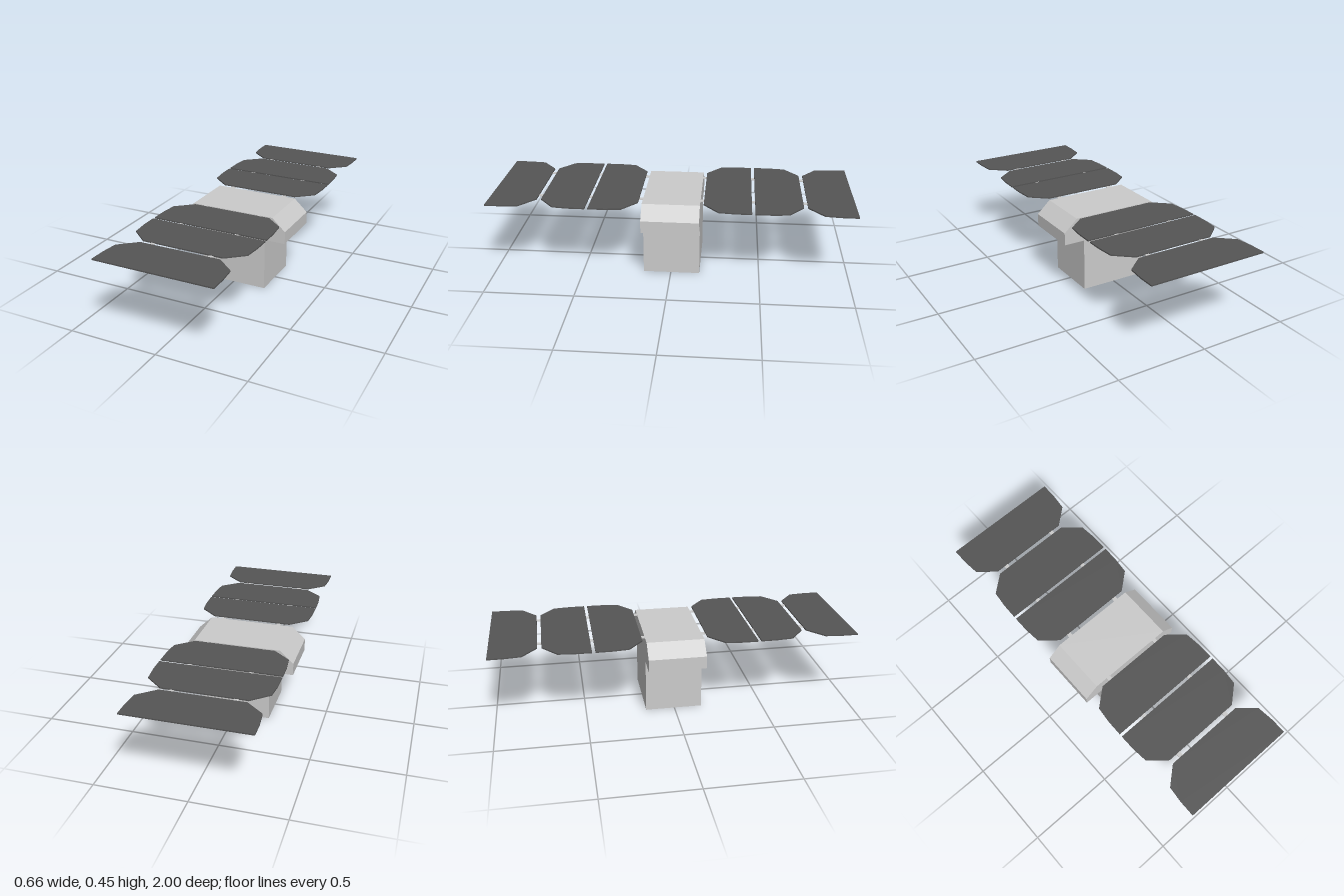
import * as THREE from 'three';

const grey = new THREE.MeshStandardMaterial({ color: 0xcccccc, flatShading: true });
const dark = new THREE.MeshStandardMaterial({ color: 0x555555, flatShading: true });

function extrude(points, depth) {
  const shape = new THREE.Shape(points.map(([x, y]) => new THREE.Vector2(x, y)));
  return new THREE.ExtrudeGeometry(shape, { depth, bevelEnabled: false });
}

function add(group, name, geometry, material) {
  const mesh = new THREE.Mesh(geometry, material);
  mesh.name = name;
  group.add(mesh);
  return mesh;
}

// Panel lying flat: straight wide edge at zWide, chamfered edge at zNarrow
function panelGeometry(zWide, zNarrow) {
  const at = (t) => -(zWide + (zNarrow - zWide) * t);
  const half = [[0.332, at(0)], [0.331, at(0.35)], [0.322, at(0.69)], [0.227, at(1)]];
  const mirrored = half.map(([x, y]) => [-x, y]).reverse();
  return extrude([...half, ...mirrored], 0.007).rotateX(-Math.PI / 2).translate(0, 0.44, 0);
}

export function createModel() {
  const model = new THREE.Group();
  model.name = 'satellite';

  // T-shaped body with a chamfered head
  const profile = [
    [-0.195, 0], [0.193, 0], [0.193, 0.301], [0.313, 0.301], [0.313, 0.371],
    [0.237, 0.441], [-0.25, 0.441], [-0.327, 0.371], [-0.327, 0.301], [-0.195, 0.301],
  ];
  add(model, 'body', extrude(profile, 0.317).translate(0, 0, -0.162), grey);

  // Front and back wings, each of three panels: [wide edge z, chamfered edge z]
  const wings = [
    { name: 'front', sign: 1, panels: [[0.436, 0.176], [0.453, 0.712], [1, 0.737]], gaps: [0.166, 0.445, 0.725] },
    { name: 'back', sign: -1, panels: [[0.442, 0.182], [0.46, 0.72], [1, 0.742]], gaps: [0.172, 0.451, 0.731] },
  ];
  for (const { name, sign, panels, gaps } of wings) {
    const wing = new THREE.Group();
    wing.name = name + 'Wing';
    model.add(wing);
    panels.forEach(([wide, narrow], i) =>
      add(wing, 'solarPanel' + (i + 1), panelGeometry(sign * wide, sign * narrow), dark));

    // Pairs of short hinge strips bridging the gaps
    for (const z of gaps) {
      for (const x of [-0.167, 0.165]) {
        add(wing, 'hingeStrip', new THREE.BoxGeometry(0.024, 0.004, 0.08), grey)
          .position.set(x, 0.441, sign * z);
      }
    }
  }
  // Strips at the body are sunk so they stay hidden under its top face
  model.traverse((part) => {
    if (part.name === 'hingeStrip' && Math.abs(part.position.z) < 0.2) part.position.y = 0.4385;
  });
  return model;
}
